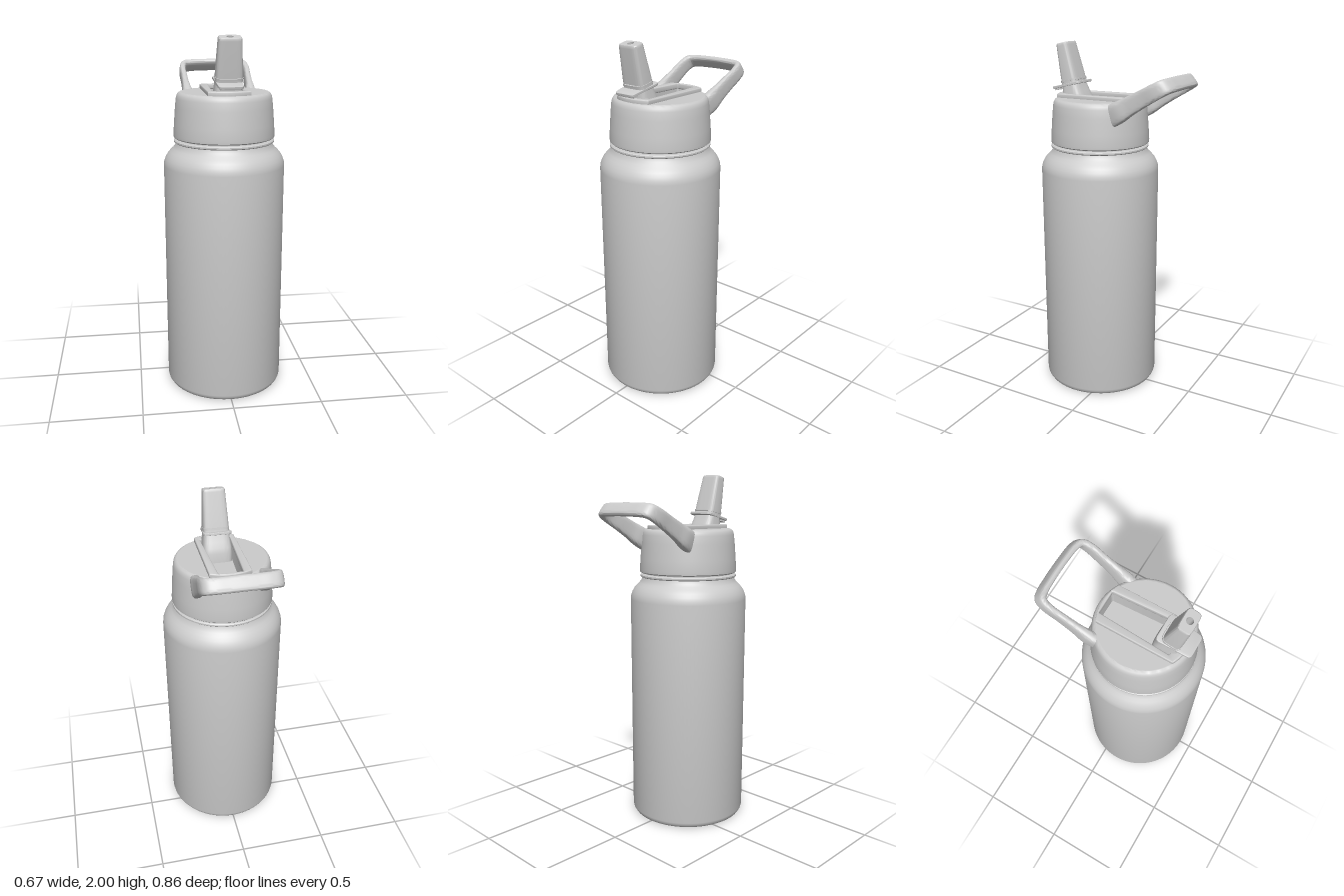
import * as THREE from 'three';
import { toCreasedNormals } from 'three/addons/utils/BufferGeometryUtils.js';

const material = new THREE.MeshStandardMaterial({ color: 0xcccccc });

function add(parent, name, geometry) {
  const mesh = new THREE.Mesh(geometry, material);
  mesh.name = name;
  parent.add(mesh);
  return mesh;
}

const lathe = points => toCreasedNormals(
  new THREE.LatheGeometry(points.map(([r, y]) => new THREE.Vector2(r, y)), 96), 0.6);

// Unit superellipse: n = 2 is a circle, larger n a rounded rectangle
function superellipse(t, n) {
  const c = Math.cos(t), s = Math.sin(t);
  return [Math.sign(c) * Math.abs(c) ** (2 / n), Math.sign(s) * Math.abs(s) ** (2 / n)];
}

// Skin a list of rings, each with the same number of points
function skin(rings, crease) {
  const n = rings[0].length, index = [];
  for (let i = 0; i < rings.length - 1; i++) {
    for (let j = 0; j < n; j++) {
      const a = i * n + j, b = i * n + (j + 1) % n;
      index.push(a, a + n, b, b, a + n, b + n);
    }
  }
  const g = new THREE.BufferGeometry().setFromPoints(rings.flat());
  g.setIndex(index);
  return toCreasedNormals(g, crease);
}

// Upright loft from [y, halfX, halfZ, exponent] rows
function loft(rows) {
  const N = 48;
  return skin(rows.map(([y, hx, hz, n]) => Array.from({ length: N }, (_, j) => {
    const [c, s] = superellipse(j / N * Math.PI * 2, n);
    return new THREE.Vector3(c * hx, y, s * hz);
  })), 0.6);
}

// Symmetric tapered outline with rounded corners (shape y points to the back)
function taperedOutline(shape, backHalf, backY, frontHalf, frontY, r) {
  shape.moveTo(-backHalf + r, backY);
  shape.lineTo(backHalf - r, backY);
  shape.quadraticCurveTo(backHalf, backY, backHalf, backY - r);
  shape.lineTo(frontHalf, frontY + r);
  shape.quadraticCurveTo(frontHalf, frontY, frontHalf - r, frontY);
  shape.lineTo(-frontHalf + r, frontY);
  shape.quadraticCurveTo(-frontHalf, frontY, -frontHalf, frontY + r);
  shape.lineTo(-backHalf, backY - r);
  shape.quadraticCurveTo(-backHalf, backY, -backHalf + r, backY);
  return shape;
}

const slotPath = () => taperedOutline(new THREE.Path(), 0.071, 0.228, 0.091, -0.185, 0.012);

// Flat horizontal plate, its base at y = 0
function plate(shape, depth, bevel) {
  const g = new THREE.ExtrudeGeometry(shape, {
    depth, curveSegments: 48, bevelEnabled: bevel > 0,
    bevelSize: bevel, bevelThickness: bevel, bevelSegments: 3,
  });
  return toCreasedNormals(g.rotateX(-Math.PI / 2), 0.6);
}

function buildBody() {
  const body = new THREE.Group();
  body.name = 'body';
  // Underside with shallow concentric rings, wall, shoulder and neck
  add(body, 'flask', lathe([
    [0, 0.011], [0.04, 0.011], [0.046, 0.008], [0.06, 0.008], [0.066, 0.011],
    [0.13, 0.011], [0.136, 0.008], [0.15, 0.008], [0.156, 0.011],
    [0.235, 0.011], [0.245, 0.003], [0.27, 0], [0.308, 0], [0.322, 0.008], [0.331, 0.022],
    [0.334, 0.035], [0.334, 1.3], [0.332, 1.32], [0.325, 1.34], [0.314, 1.36],
    [0.299, 1.378], [0.283, 1.393], [0.271, 1.408], [0.265, 1.425], [0.25, 1.428],
    [0.25, 1.47],
  ]));
  add(body, 'neckRing', lathe([
    [0.24, 1.424], [0.27, 1.425], [0.276, 1.43], [0.276, 1.438], [0.27, 1.443], [0.24, 1.444],
  ]));
  body.position.z = 0.097;
  return body;
}

function buildLid() {
  const lid = new THREE.Group();
  lid.name = 'lid';
  add(lid, 'lidWall', lathe([
    [0.24, 1.45], [0.27, 1.45], [0.277, 1.456], [0.278, 1.47], [0.274, 1.53], [0.267, 1.62],
    [0.262, 1.665], [0.258, 1.681], [0.251, 1.692], [0.241, 1.698], [0.236, 1.698],
  ]));

  const disc = new THREE.Shape().absarc(0, 0, 0.24, 0, Math.PI * 2, false);
  disc.holes.push(slotPath());
  add(lid, 'lidTop', plate(disc, 0.11, 0)).position.y = 1.588;

  // Raised band either side of the slot, rounded to the lid's rim
  const band = new THREE.Shape();
  const r = 0.235, a = Math.acos(0.106 / r);
  band.absarc(0, 0, r, a, Math.PI - a, false);
  band.absarc(0, 0, r, Math.PI + a, Math.PI * 2 - a, false);
  band.closePath();
  band.holes.push(slotPath());
  add(lid, 'raisedBand', plate(band, 0.02, 0.006)).position.y = 1.694;

  const floor = add(lid, 'slotFloor', new THREE.BoxGeometry(0.19, 0.01, 0.42));
  floor.position.set(0, 1.593, -0.02);
  lid.position.z = 0.095;
  return lid;
}

// Carrying loop: strap swept from one lid side, round the back, to the other
function buildHandle() {
  // x, y, z, half thickness, half width
  const half = [
    [0.172, 1.618, -0.05, 0.022, 0.06], [0.18, 1.655, -0.12, 0.028, 0.058],
    [0.184, 1.69, -0.18, 0.021, 0.051], [0.187, 1.732, -0.255, 0.018, 0.046],
    [0.19, 1.773, -0.33, 0.018, 0.043], [0.177, 1.798, -0.377, 0.019, 0.041],
    [0.135, 1.805, -0.392, 0.018, 0.04], [0.07, 1.807, -0.396, 0.017, 0.04],
  ];
  const all = [...half, [0, 1.808, -0.397, 0.017, 0.04],
    ...half.slice().reverse().map(([x, ...rest]) => [-x, ...rest])];
  const curve = points => new THREE.CatmullRomCurve3(points, false, 'catmullrom', 0.5);
  const path = curve(all.map(p => new THREE.Vector3(p[0], p[1], p[2])));
  const size = curve(all.map(p => new THREE.Vector3(p[3], p[4], 0)));
  const steps = 96, N = 32, rings = [];
  for (let i = 0; i <= steps; i++) {
    const t = i / steps, c = path.getPoint(t), s = size.getPoint(t);
    const tangent = path.getTangent(t);
    const across = new THREE.Vector3(0, 0.76, 0.65);
    across.addScaledVector(tangent, -across.dot(tangent)).normalize();
    const out = new THREE.Vector3().crossVectors(tangent, across);
    rings.push(Array.from({ length: N }, (_, j) => {
      const [u, v] = superellipse(j / N * Math.PI * 2, 3.5);
      return c.clone().addScaledVector(out, u * s.x).addScaledVector(across, v * s.y);
    }));
  }
  return skin(rings, 0.9);
}

function buildSpout() {
  const spout = new THREE.Group();
  spout.name = 'spout';
  // Pivoting foot in the slot
  add(spout, 'spoutFoot', loft([
    [-0.05, 0.001, 0.001, 4], [-0.05, 0.08, 0.066, 4], [0, 0.081, 0.072, 4],
    [0.03, 0.08, 0.069, 4], [0.06, 0.076, 0.06, 4], [0.11, 0.07, 0.05, 4],
  ]));
  // Flange narrowing to a tab at the front, with a ridge above it
  const flange = taperedOutline(new THREE.Shape(), 0.075, 0.072, 0.062, -0.112, 0.02);
  add(spout, 'flange', plate(flange, 0.008, 0.003)).position.y = 0.107;
  add(spout, 'ridge', loft([
    [0.126, 0.05, 0.04, 4], [0.128, 0.073, 0.056, 4], [0.138, 0.073, 0.056, 4], [0.14, 0.05, 0.04, 4],
  ]));
  // Finger lip under the flange front
  const lip = add(spout, 'fingerLip', new THREE.BoxGeometry(0.11, 0.012, 0.035));
  lip.position.set(0, 0.1, 0.085);
  // Tapering mouthpiece with a drinking bore
  add(spout, 'mouthpiece', loft([
    [0.11, 0.071, 0.051, 5], [0.17, 0.069, 0.048, 5], [0.325, 0.061, 0.037, 5],
    [0.336, 0.06, 0.036, 5], [0.341, 0.056, 0.033, 5], [0.341, 0.018, 0.018, 2],
    [0.24, 0.018, 0.018, 2], [0.24, 0.001, 0.001, 2],
  ]));
  spout.position.set(0, 1.66, 0.236);
  spout.rotation.x = 0.23;
  return spout;
}

export function createModel() {
  const model = new THREE.Group();
  model.name = 'waterBottle';
  model.add(buildBody(), buildLid(), buildSpout());
  add(model, 'handle', buildHandle());
  return model;
}
